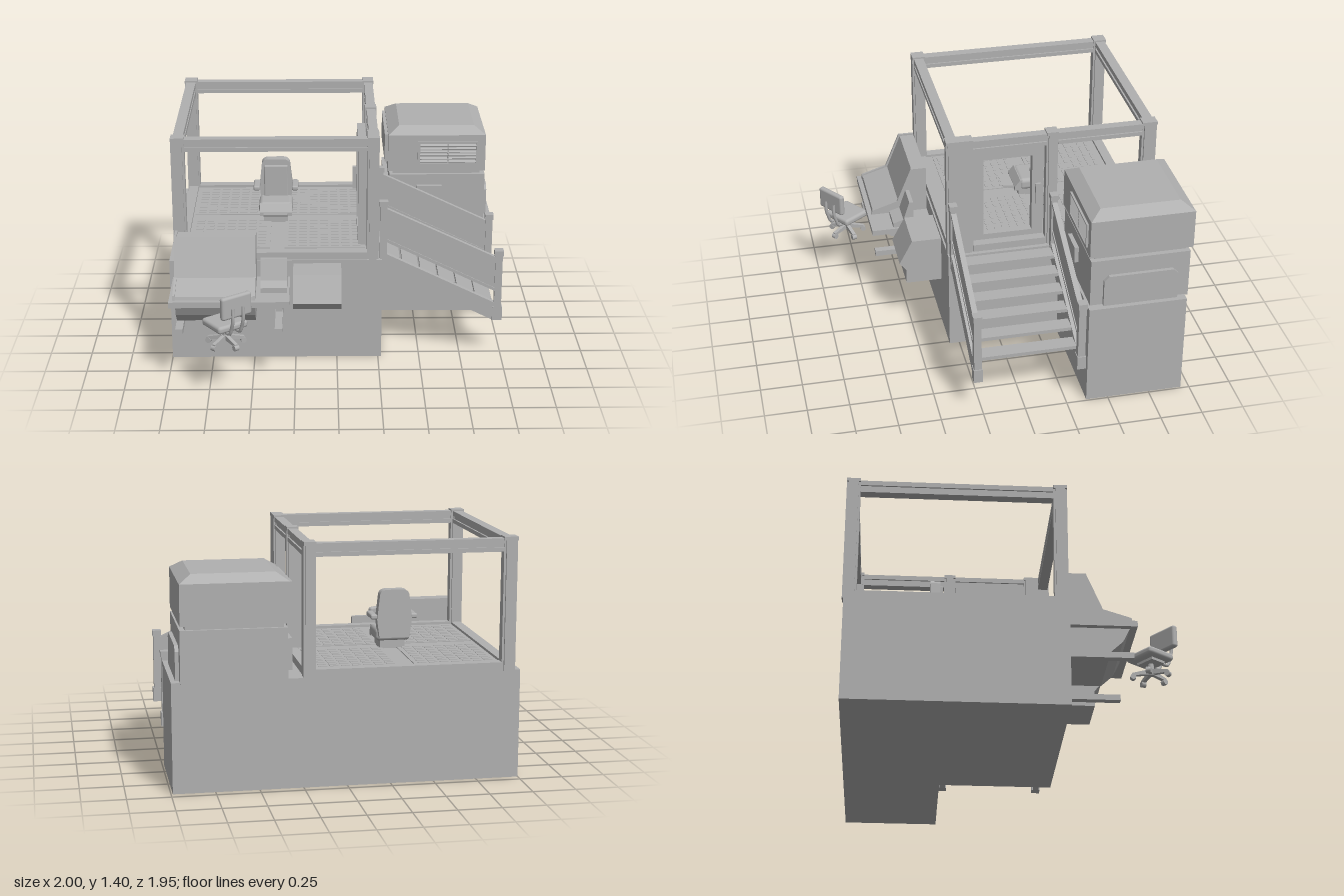
import * as THREE from 'three';
import { mergeGeometries } from 'three/addons/utils/BufferGeometryUtils.js';
import { RoundedBoxGeometry } from 'three/addons/geometries/RoundedBoxGeometry.js';

const grey = new THREE.MeshStandardMaterial({ color: 0xb0b0b0 });
grey.name = 'machineGrey';

function add(parent, name, geometry) {
  const mesh = new THREE.Mesh(geometry, grey);
  mesh.name = name;
  parent.add(mesh);
  return mesh;
}
function group(parent, name) {
  const g = new THREE.Group();
  g.name = name;
  parent.add(g);
  return g;
}
// Box given by its limits on each axis
function boxGeo(x0, x1, y0, y1, z0, z1) {
  return new THREE.BoxGeometry(x1 - x0, y1 - y0, z1 - z0)
    .translate((x0 + x1) / 2, (y0 + y1) / 2, (z0 + z1) / 2);
}
const box = (parent, name, ...b) => add(parent, name, boxGeo(...b));
function rounded(parent, name, r, x0, x1, y0, y1, z0, z1) {
  return add(parent, name, new RoundedBoxGeometry(x1 - x0, y1 - y0, z1 - z0, 3, r)
    .translate((x0 + x1) / 2, (y0 + y1) / 2, (z0 + z1) / 2));
}
const shapeOf = (pts) => new THREE.Shape(pts.map(([a, b]) => new THREE.Vector2(a, b)));
const extrude = (shape, depth) =>
  new THREE.ExtrudeGeometry(shape, { depth, bevelEnabled: false, curveSegments: 8 });
// Side profile of [z, y] points, swept across x
function profileX(parent, name, shape, x0, x1) {
  return add(parent, name, extrude(shape, x1 - x0).rotateY(-Math.PI / 2).translate(x1, 0, 0));
}
// Front profile of [x, y] points, swept across z
function profileZ(parent, name, pts, z0, z1) {
  return add(parent, name, extrude(shapeOf(pts), z1 - z0).translate(0, 0, z0));
}

function buildCabin(root) {
  const cabin = group(root, 'cabin');
  // Upright posts with notched corners and a cap
  const posts = [[-0.97, -0.89, 0.23, 0.31], [-0.97, -0.89, -0.96, -0.88],
    [0.18, 0.25, 0.15, 0.31], [0.18, 0.25, -0.36, -0.29], [0.18, 0.25, -0.96, -0.87]];
  for (const [x0, x1, z0, z1] of posts) {
    const n = 0.012;
    add(cabin, 'post', mergeGeometries([
      boxGeo(x0 + n, x1 - n, 0.63, 1.38, z0, z1), boxGeo(x0, x1, 0.63, 1.38, z0 + n, z1 - n)]));
    box(cabin, 'postCap', x0, x1, 1.38, 1.4, z0, z1);
  }
  // Head beams and sills: a slim core with a rib along the top and bottom
  const runs = [[-0.89, 0.18, 0.24, 0.3], [-0.89, 0.18, -0.95, -0.89],
    [-0.96, -0.9, -0.88, 0.23], [0.19, 0.245, -0.87, -0.36], [0.19, 0.245, -0.29, 0.15]];
  for (const [x0, x1, z0, z1] of runs) {
    const alongX = x1 - x0 > z1 - z0;
    const ix = alongX ? 0 : 0.01, iz = alongX ? 0.01 : 0;
    add(cabin, 'headBeam', mergeGeometries([
      boxGeo(x0 + ix, x1 - ix, 1.34, 1.36, z0 + iz, z1 - iz),
      boxGeo(x0, x1, 1.36, 1.39, z0, z1), boxGeo(x0, x1, 1.315, 1.34, z0, z1)]));
    box(cabin, 'sill', x0, x1, 0.63, 0.68, z0, z1);
  }
  // Floor frame and four tread panels with low ridges
  box(cabin, 'floor', -0.92, 0.2, 0.63, 0.665, -0.92, 0.27);
  for (const px of [-0.89, -0.315]) for (const pz of [-0.86, -0.29]) {
    box(cabin, 'floorPanel', px, px + 0.487, 0.66, 0.67, pz, pz + 0.485);
    const ridges = [];
    for (let i = 0; i < 7; i++) for (let j = 0; j < 10; j++) {
      const x = px + 0.022 + i * 0.065, z = pz + 0.02 + j * 0.047;
      ridges.push(boxGeo(x, x + 0.048, 0.669, 0.673, z, z + 0.018));
    }
    add(cabin, 'treadRidges', mergeGeometries(ridges));
  }
  // Side door with open window and handles on both faces
  const door = shapeOf([[-0.29, 0.65], [0.152, 0.65], [0.152, 1.3], [-0.29, 1.3]]);
  door.holes.push(new THREE.Path([[-0.22, 0.71], [-0.22, 1.22], [0.075, 1.22], [0.075, 0.71]]
    .map(([z, y]) => new THREE.Vector2(z, y))));
  profileX(cabin, 'door', door, 0.13, 0.18);
  box(cabin, 'doorHandleInner', 0.105, 0.13, 0.89, 1.03, -0.275, -0.24);
  box(cabin, 'doorHandleOuter', 0.18, 0.195, 0.89, 1.03, -0.275, -0.24);
}

function buildOperatorSeat(root) {
  const seat = group(root, 'operatorSeat');
  seat.position.set(-0.375, 0, 0);
  box(seat, 'pedestal', -0.075, 0.075, 0.66, 0.73, -0.4, -0.25);
  rounded(seat, 'cushion', 0.025, -0.105, 0.105, 0.715, 0.79, -0.43, -0.25);
  profileX(seat, 'cushionNose',
    shapeOf([[-0.27, 0.715], [-0.22, 0.715], [-0.22, 0.74], [-0.255, 0.785], [-0.27, 0.785]]), -0.1, 0.1);
  profileX(seat, 'footRest',
    shapeOf([[-0.23, 0.715], [-0.15, 0.735], [-0.145, 0.75], [-0.23, 0.735]]), -0.075, 0.075);
  // Backrest, widest at the arms, narrower towards the head
  const s = new THREE.Shape();
  s.moveTo(-0.09, 0.74);
  s.lineTo(0.09, 0.74);
  s.lineTo(0.105, 0.85);
  s.lineTo(0.088, 1.0);
  s.quadraticCurveTo(0.08, 1.025, 0.05, 1.028);
  s.lineTo(-0.05, 1.028);
  s.quadraticCurveTo(-0.08, 1.025, -0.088, 1.0);
  s.lineTo(-0.105, 0.85);
  add(seat, 'backrest', extrude(s, 0.06).translate(0, 0, -0.46));
  rounded(seat, 'backPad', 0.008, -0.075, 0.075, 0.77, 0.99, -0.41, -0.385);
  for (const side of [-1, 1]) {
    const x = side * 0.12;
    rounded(seat, 'armrest', 0.01, x - 0.02, x + 0.02, 0.85, 0.88, -0.45, -0.31);
  }
}

function buildCoolingUnit(root) {
  const unit = group(root, 'coolingUnit');
  box(unit, 'lowerHousing', 0.34, 0.94, 0.63, 0.93, -0.97, -0.385);
  box(unit, 'neck', 0.36, 0.91, 0.92, 0.96, -0.95, -0.41);
  box(unit, 'upperHousing', 0.33, 0.94, 0.955, 1.19, -0.985, -0.377);
  // Tapered lid
  const lid = new THREE.BoxGeometry(0.61, 0.045, 0.608);
  const p = lid.attributes.position;
  for (let i = 0; i < p.count; i++) if (p.getY(i) > 0) {
    p.setX(i, p.getX(i) * 0.77);
    p.setZ(i, p.getZ(i) * 0.77);
  }
  lid.computeVertexNormals();
  add(unit, 'lid', lid.translate(0.635, 1.2125, -0.681));
  // Front grille with slats
  const frame = shapeOf([[0.515, 1.0], [0.89, 1.0], [0.89, 1.15], [0.515, 1.15]]);
  frame.holes.push(new THREE.Path([[0.53, 1.01], [0.53, 1.14], [0.88, 1.14], [0.88, 1.01]]
    .map(([x, y]) => new THREE.Vector2(x, y))));
  add(unit, 'grilleFrame', extrude(frame, 0.014).translate(0, 0, -0.378));
  for (let i = 0; i < 6; i++) {
    add(unit, 'grilleSlat', new THREE.BoxGeometry(0.35, 0.004, 0.018).rotateX(0.6)
      .translate(0.705, 1.022 + i * 0.021, -0.373));
  }
  box(unit, 'grilleMullion', 0.7, 0.71, 1.01, 1.14, -0.377, -0.366);
  // Side and front covers
  box(unit, 'upperSideCover', 0.31, 0.335, 1.0, 1.18, -0.93, -0.43);
  box(unit, 'lowerSideCover', 0.31, 0.345, 0.68, 0.86, -0.93, -0.43);
  box(unit, 'controlPlate', 0.51, 0.67, 0.76, 0.86, -0.386, -0.36);
  const cover = shapeOf([[-0.9, 0.63], [-0.46, 0.63], [-0.46, 0.8], [-0.49, 0.83], [-0.87, 0.83], [-0.9, 0.8]]);
  profileX(unit, 'archedCover', cover, 0.935, 0.962);
}

function buildStairs(root) {
  const stairs = group(root, 'stairs');
  for (let i = 0; i < 6; i++) {
    const x = 0.285 + i * 0.112, y = 0.63 - i * 0.054;
    box(stairs, 'tread', x, x + 0.092, y - 0.022, y, -0.315, 0.265);
  }
  for (const z of [-0.332, 0.28]) {
    profileZ(stairs, 'stringer', [[0.27, 0.55], [0.31, 0.55], [0.94, 0.235], [0.985, 0.235],
      [0.985, 0.345], [0.955, 0.345], [0.3, 0.665], [0.27, 0.665]], z - 0.018, z + 0.018);
    profileZ(stairs, 'railPanel',
      [[0.29, 0.75], [0.955, 0.425], [0.955, 0.62], [0.29, 0.935]], z - 0.008, z + 0.008);
    profileZ(stairs, 'handrail',
      [[0.29, 0.93], [0.955, 0.615], [0.955, 0.64], [0.29, 0.957]], z - 0.016, z + 0.016);
    profileZ(stairs, 'lowerRail',
      [[0.29, 0.745], [0.955, 0.42], [0.955, 0.44], [0.29, 0.765]], z - 0.014, z + 0.014);
    box(stairs, 'topPost', 0.257, 0.3, 0.6, 0.97, z - 0.02, z + 0.02);
    box(stairs, 'topPostCap', 0.253, 0.304, 0.97, 1.0, z - 0.024, z + 0.024);
    box(stairs, 'bottomPost', 0.95, 0.993, 0.235, 0.65, z - 0.022, z + 0.022);
    box(stairs, 'bottomPostCap', 0.945, 0.998, 0.65, 0.685, z - 0.026, z + 0.026);
    box(stairs, 'bottomPostFoot', 0.94, 1.0, 0.235, 0.32, z - 0.026, z + 0.026);
  }
}

function buildConsole(root) {
  const desk = group(root, 'controlDesk');
  box(desk, 'deskTop', -0.98, -0.28, 0.495, 0.53, 0.31, 0.69);
  profileX(desk, 'console',
    shapeOf([[0.31, 0.53], [0.66, 0.53], [0.655, 0.55], [0.49, 0.6], [0.4, 0.82], [0.31, 0.82]]), -0.945, -0.49);
  for (const x of [-0.957, -0.492]) {
    profileX(desk, 'consoleCheek',
      shapeOf([[0.31, 0.53], [0.665, 0.53], [0.66, 0.558], [0.5, 0.608], [0.408, 0.83], [0.31, 0.83]]), x, x + 0.014);
  }
  profileX(desk, 'lowerCabinet',
    shapeOf([[0.31, 0.35], [0.54, 0.35], [0.61, 0.415], [0.65, 0.495], [0.31, 0.495]]), -0.945, -0.48);
  profileX(desk, 'displayUnit',
    shapeOf([[0.425, 0.53], [0.555, 0.53], [0.555, 0.56], [0.49, 0.58], [0.45, 0.7], [0.425, 0.7]]), -0.45, -0.295);
  for (const x of [-0.925, -0.345]) {
    box(desk, 'leg', x - 0.02, x + 0.02, 0.33, 0.5, 0.31, 0.42);
    box(desk, 'foot', x - 0.022, x + 0.022, 0.315, 0.35, 0.31, 0.67);
  }
  profileX(root, 'wallBox', shapeOf([[0.31, 0.32], [0.53, 0.32], [0.53, 0.415],
    [0.57, 0.465], [0.49, 0.615], [0.31, 0.615]]), -0.26, 0.025);
}

function buildSwivelChair(root) {
  const chair = group(root, 'swivelChair');
  chair.position.set(-0.645, 0, 0.81);
  chair.rotation.y = 0.63;
  rounded(chair, 'seatCushion', 0.018, -0.1, 0.1, 0.435, 0.48, -0.1, 0.09);
  box(chair, 'seatPlate', -0.06, 0.06, 0.42, 0.44, -0.05, 0.05);
  rounded(chair, 'backCushion', 0.015, -0.1, 0.1, 0.535, 0.672, 0.095, 0.132);
  // Twin curved back supports
  for (const x of [-0.035, 0.035]) {
    const path = new THREE.CatmullRomCurve3([[0.03, 0.43], [0.1, 0.432], [0.118, 0.47], [0.135, 0.52], [0.135, 0.6]]
      .map(([z, y]) => new THREE.Vector3(x, y, z)));
    add(chair, 'backSupport', new THREE.TubeGeometry(path, 14, 0.01, 8, false));
  }
  add(chair, 'column', new THREE.CylinderGeometry(0.016, 0.02, 0.08, 12).translate(0, 0.39, 0));
  // Five-armed base on castors
  for (let i = 0; i < 5; i++) {
    const arm = group(chair, 'baseArm');
    arm.rotation.y = i * Math.PI * 0.4;
    profileX(arm, 'arm', shapeOf([[0, 0.355], [0.11, 0.345], [0.11, 0.36], [0, 0.388]]), -0.011, 0.011);
    add(arm, 'castor', new THREE.CylinderGeometry(0.017, 0.017, 0.028, 12).rotateZ(Math.PI / 2)
      .translate(0, 0.337, 0.105));
  }
}

export function createModel() {
  const root = new THREE.Group();
  root.name = 'controlStation';
  // Base block with a stair notch at the front corner
  const base = shapeOf([[-1, -0.31], [0.27, -0.31], [0.27, 0.37], [0.99, 0.37], [0.99, 0.95], [-1, 0.95]]);
  add(root, 'base', extrude(base, 0.635).rotateX(-Math.PI / 2));
  buildCabin(root);
  buildOperatorSeat(root);
  buildCoolingUnit(root);
  buildStairs(root);
  buildConsole(root);
  buildSwivelChair(root);
  return root;
}
